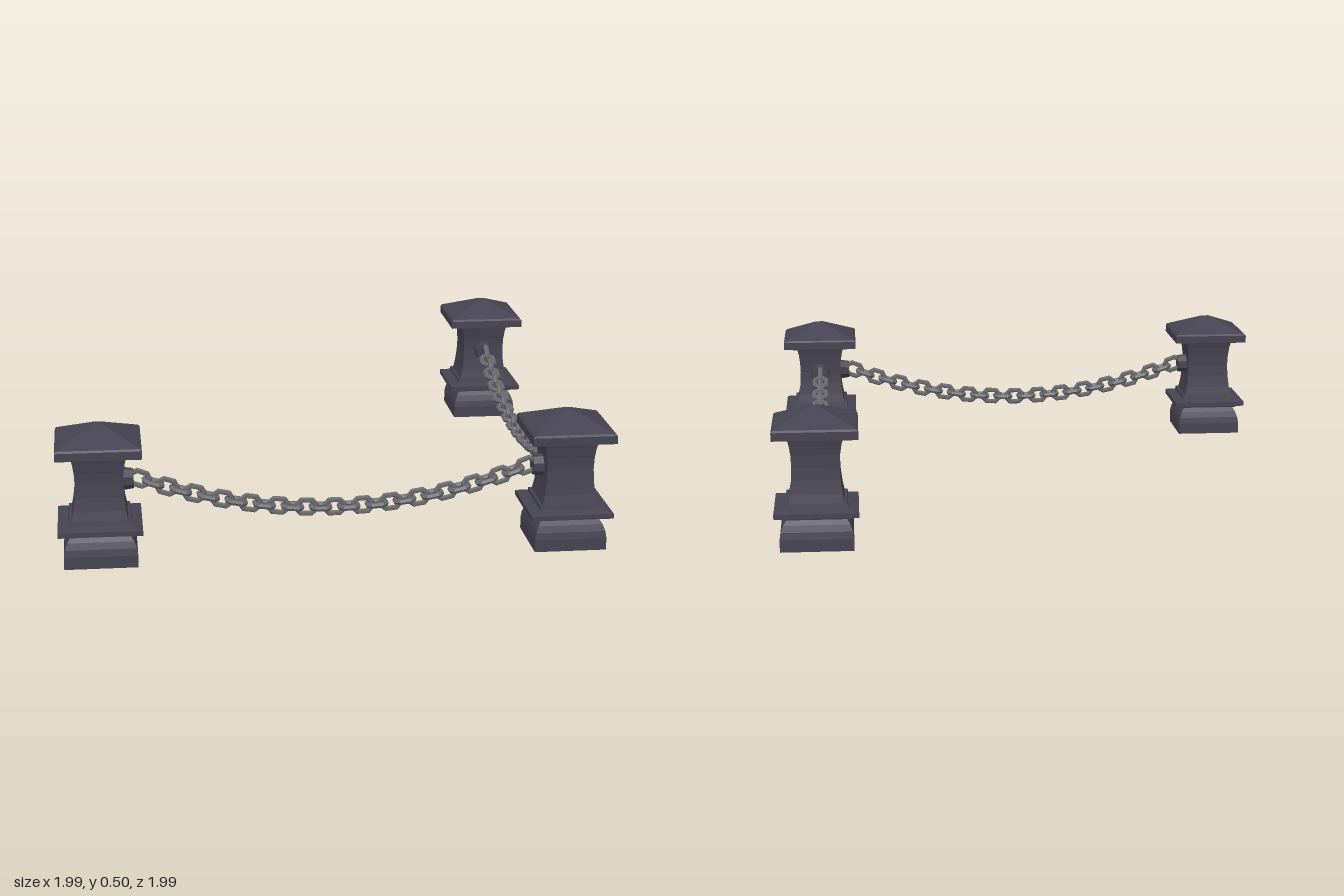
import * as THREE from 'three';

const iron = new THREE.MeshStandardMaterial({ color: 0x454351, flatShading: true, side: THREE.DoubleSide });
iron.name = 'dark iron';
const steel = new THREE.MeshStandardMaterial({ color: 0x6a696e, flatShading: true });
steel.name = 'chain steel';

const POST = 0.845;   // distance of the posts from the centre lines
const PITCH = 0.0512; // spacing of links along the chain
const HALF_LINKS = 14;

function mesh(name, geometry, material) {
  const m = new THREE.Mesh(geometry, material);
  m.name = name;
  return m;
}

// Square column from a profile of [half width, height], bottom to top
function squareLathe(profile) {
  const points = profile.map(([h, y]) => new THREE.Vector2(h * Math.SQRT2, y));
  return new THREE.LatheGeometry(points, 4).rotateY(Math.PI / 4);
}

// Hollow foot, open underneath
const footGeo = squareLathe([[0.131, 0], [0.131, 0.045], [0.127, 0.07], [0.118, 0.094], [0.105, 0.114]]);
// Flange between foot and shaft
const collarGeo = squareLathe([[0, 0.113], [0.117, 0.113], [0.12, 0.123], [0.15, 0.125], [0.15, 0.143], [0.112, 0.152], [0.11, 0.166], [0, 0.166]]);
// Waisted shaft
const shaftGeo = squareLathe([[0.1, 0.164], [0.093, 0.2], [0.087, 0.25], [0.085, 0.295], [0.087, 0.34], [0.092, 0.375], [0.098, 0.4]]);
// Pyramid cap
const capGeo = squareLathe([[0, 0.398], [0.115, 0.398], [0.118, 0.405], [0.152, 0.407], [0.152, 0.437], [0.146, 0.444], [0.015, 0.5], [0, 0.502]]);
// Boss that holds the chain end, pointing along +x
const bossGeo = new THREE.CylinderGeometry(0.036, 0.043, 0.05, 8).rotateY(Math.PI / 8).rotateZ(-Math.PI / 2);

// Oval link: an eight-sided ring pulled apart along x
const linkGeo = new THREE.TorusGeometry(0.027, 0.0105, 6, 8).rotateZ(Math.PI / 8);
const lp = linkGeo.attributes.position;
for (let i = 0; i < lp.count; i++) lp.setX(i, lp.getX(i) + Math.sign(lp.getX(i)) * 0.008);

function createPost(name, x, z) {
  const post = new THREE.Group();
  post.name = name;
  post.add(mesh('foot', footGeo, iron), mesh('collar', collarGeo, iron), mesh('shaft', shaftGeo, iron), mesh('cap', capGeo, iron));
  post.position.set(x, 0, z);
  return post;
}

// Hanging chain along x, with a boss at each end
function createChain(name) {
  const chain = new THREE.Group();
  chain.name = name;
  const sag = 0.135 / (0.71 * 0.71);
  const place = (x, i) => {
    const turn = new THREE.Group();
    turn.name = 'link';
    const link = mesh('linkRing', linkGeo, steel);
    if (i % 2) link.rotation.x = Math.PI / 2;
    turn.add(link);
    turn.position.set(x, 0.157 + sag * x * x, 0);
    turn.rotation.z = Math.atan(2 * sag * x);
    chain.add(turn);
  };
  place(0, 0);
  let x = 0;
  for (let i = 1; i <= HALF_LINKS; i++) {
    // Step an equal length along the curve
    const slope = 2 * sag * (x + PITCH / 2);
    x += PITCH / Math.hypot(1, slope);
    place(x, i);
    place(-x, i);
  }
  for (const side of [-1, 1]) {
    const boss = mesh('chainBoss', bossGeo, iron);
    boss.position.set(side * 0.747, 0.29, 0);
    if (side > 0) boss.rotation.y = Math.PI;
    chain.add(boss);
  }
  return chain;
}

export function createModel() {
  const model = new THREE.Group();
  model.name = 'chainBarrier';
  model.add(
    createPost('cornerPost', POST, POST),
    createPost('rightPost', -POST, POST),
    createPost('backPost', POST, -POST),
  );
  const front = createChain('frontChain');
  front.position.z = POST;
  const side = createChain('sideChain');
  side.position.x = POST;
  side.rotation.y = Math.PI / 2;
  model.add(front, side);
  return model;
}
